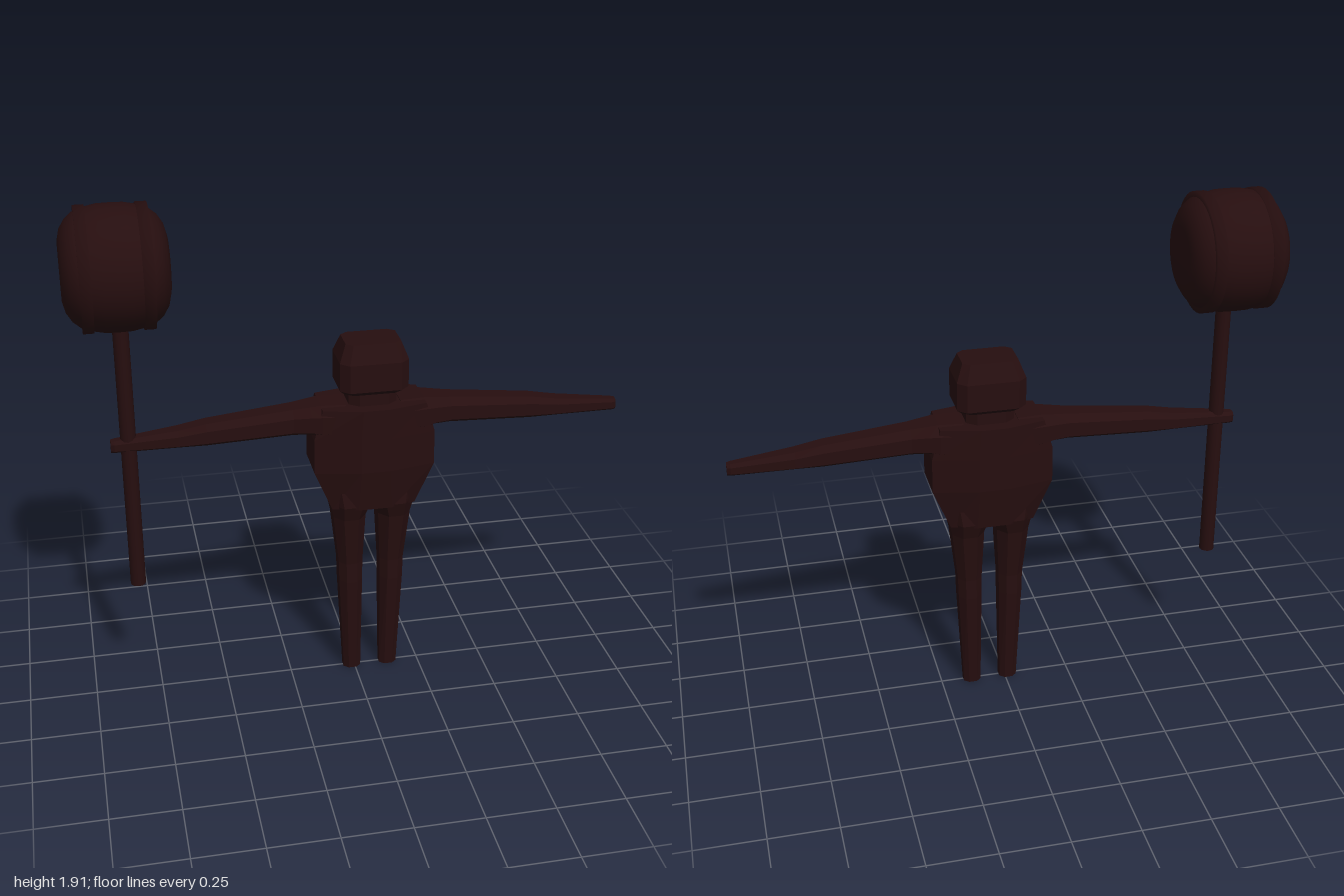
import * as THREE from 'three';

const bodyX = 0.06; // the figure stands a little off centre, balancing the hammer

// Skin a list of equal-sized rings of points, capping both ends
function loft(rings) {
  const n = rings[0].length, pos = [], idx = [];
  rings.forEach(r => r.forEach(p => pos.push(...p)));
  const last = (rings.length - 1) * n;
  for (let i = 0; i < rings.length - 1; i++) {
    for (let j = 0; j < n; j++) {
      const a = i * n + j, b = i * n + (j + 1) % n;
      idx.push(a, b, a + n, b, b + n, a + n);
    }
  }
  for (let j = 1; j < n - 1; j++) {
    idx.push(0, j + 1, j, last, last + j, last + j + 1);
  }
  // Turn the faces outward if the rings wind the other way
  let volume = 0;
  const v = k => new THREE.Vector3().fromArray(pos, idx[k] * 3);
  for (let k = 0; k < idx.length; k += 3) volume += v(k).dot(v(k + 1).cross(v(k + 2)));
  if (volume < 0) idx.reverse();
  const g = new THREE.BufferGeometry();
  g.setAttribute('position', new THREE.Float32BufferAttribute(pos, 3));
  g.setIndex(idx);
  const flat = g.toNonIndexed();
  flat.computeVertexNormals();
  return flat;
}

// Eight-cornered outline: half sizes a and b, with inner corners at ia and ib
const octagon = (a, b, ia, ib) => [
  [a, ib], [ia, b], [-ia, b], [-a, ib], [-a, -ib], [-ia, -b], [ia, -b], [a, -ib],
];

// Level ring at height y: centre x, half width, half depth, and corner fractions
const level = (y, x, w, d, fx = 0.5, fz = 0.5) =>
  octagon(w, d, w * fx, d * fz).map(([px, pz]) => [x + px, y, pz]);

export function createModel() {
  const model = new THREE.Group();
  const darkBrown = new THREE.MeshStandardMaterial({ color: 0x260e0f });
  darkBrown.name = 'dark brown';

  const add = (name, geometry, x = 0, y = 0, z = 0) => {
    const mesh = new THREE.Mesh(geometry, darkBrown);
    mesh.name = name;
    mesh.position.set(x, y, z);
    model.add(mesh);
    return mesh;
  };

  // Head and neck
  add('head', loft([
    level(1.18, 0, 0.105, 0.075, 0.7, 0.7),
    level(1.2, 0, 0.125, 0.1, 0.75, 0.7),
    level(1.305, 0, 0.125, 0.1, 0.75, 0.7),
    level(1.37, 0, 0.1, 0.068, 0.75, 0.7),
  ]), bodyX);
  add('neck', loft([
    level(1.1, 0, 0.088, 0.07, 0.6, 0.6),
    level(1.2, 0, 0.088, 0.07, 0.6, 0.6),
  ]), bodyX);

  // Torso, tapering into the hips
  add('torso', loft([
    level(0.73, 0, 0.155, 0.098, 0.4, 0.7),
    level(0.89, 0, 0.222, 0.118, 0.25, 0.7),
    level(1.02, 0, 0.222, 0.118, 0.25, 0.7),
    level(1.135, 0, 0.19, 0.118, 0.25, 0.72),
  ]), bodyX);

  for (const s of [1, -1]) {
    const side = s > 0 ? 'left' : 'right';

    // Arm rings: distance out, bottom, top, half depth
    const arm = [
      [0.1, 1.02, 1.138, 0.1],
      [0.19, 1.02, 1.14, 0.093],
      [0.23, 1.03, 1.135, 0.085],
      [0.29, 1.03, 1.128, 0.07],
      [0.6, 1.015, 1.098, 0.055],
      [0.7, 1.015, 1.08, 0.05],
      [0.925, 1.01, 1.055, 0.026],
      [0.938, 1.01, 1.053, 0.018],
    ].map(([x, lo, hi, d]) => {
      const h = (hi - lo) / 2;
      return octagon(h, d, h * 0.55, d * 0.5).map(([py, pz]) => [s * x, (lo + hi) / 2 + py, pz]);
    });
    add(side + 'Arm', loft(arm), bodyX);

    // Leg rings: height, inner edge, outer edge, half depth
    const leg = [
      [0, 0.038, 0.104, 0.03],
      [0.4, 0.034, 0.122, 0.055],
      [0.48, 0.033, 0.124, 0.054],
      [0.68, 0.024, 0.145, 0.078],
      [0.74, 0, 0.158, 0.097],
      [0.8, 0, 0.17, 0.09],
    ].map(([y, a, b, d]) => level(y, s * (a + b) / 2, (b - a) / 2, d, 0.45, 0.5));
    add(side + 'Leg', loft(leg), bodyX);
  }

  // Hammer: long handle, rounded head and two raised bands
  const hx = -0.82, hy = 1.69;
  add('hammerHandle', new THREE.CylinderGeometry(0.028, 0.028, 1.055, 12), -0.815, 0.9925, 0);

  const profile = [
    [0, -0.182], [0.1, -0.182], [0.14, -0.172], [0.172, -0.152], [0.194, -0.125],
    [0.207, -0.09], [0.216, -0.045], [0.217, 0],
  ];
  const mirrored = profile.slice(0, -1).reverse().map(([r, h]) => [r, -h]);
  const headPoints = [...profile, ...mirrored].map(p => new THREE.Vector2(...p));
  add('hammerHead', new THREE.LatheGeometry(headPoints, 40), hx, hy, 0).rotation.z = Math.PI / 2;

  for (const s of [1, -1]) {
    const band = [[0.185, -0.019], [0.215, -0.019], [0.215, 0.019], [0.185, 0.019], [0.185, -0.019]];
    const geometry = new THREE.LatheGeometry(band.map(p => new THREE.Vector2(...p)), 40);
    add('hammerBand', geometry, hx + s * 0.103, hy, 0).rotation.z = Math.PI / 2;
  }

  return model;
}
